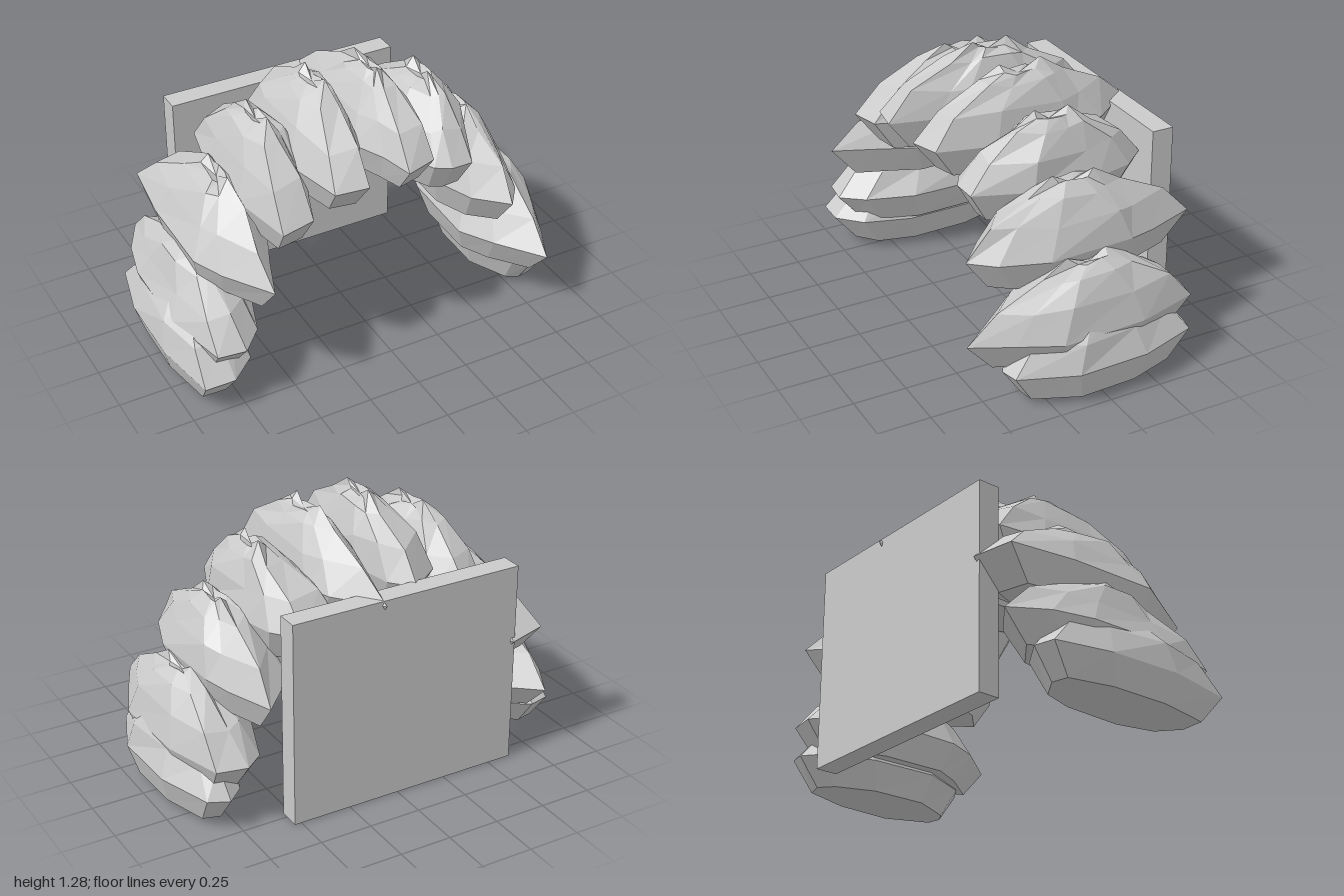
import * as THREE from 'three';

const stone = new THREE.MeshStandardMaterial({ color: 0xcacaca });
stone.name = 'grey stone';

// Small seeded generator, returns -1..1
function seeded(seed) {
  let s = seed * 7919 + 17;
  return () => {
    s = (s * 16807) % 2147483647;
    return (s / 2147483647) * 2 - 1;
  };
}

// One faceted boulder: flat foot, wide belt, rounded shoulders, two peaks with a notch between.
// corner = how far the belt corners reach towards the tips: [back left, back right, front left, front right]
// blunt = how wide the belt is at its corners: [back, front]
function boulder({ x0, x1, back, front, y, h, peak, corner, blunt = [0.72, 0.6] }, seed) {
  const rnd = seeded(seed);
  for (let i = 0; i < 5; i++) rnd();
  const mid = (x0 + x1) / 2, half = (x1 - x0) / 2;
  const [bl, br, fl, fr] = corner;
  const [bx, bz] = back, [fx, fz] = front;
  const backHalf = half * blunt[0], frontHalf = half * blunt[1];

  // Belt outline, clockwise from the back tip
  const belt = [
    [bx, bz], [mid + backHalf, bz * br], [mid + half * 0.93, bz * 0.38], [x1, fz * 0.36],
    [mid + frontHalf, fz * fr], [fx, fz], [mid - frontHalf, fz * fl], [x0, fz * 0.36],
    [mid - half * 0.96, bz * 0.38], [mid - backHalf, bz * bl],
  ];
  const n = belt.length;

  // Level: height fraction, x scale, z scale, shift towards the peak, roughness
  const levels = [
    [0, 0.78, 0.79, 0, 0],
    [0.315, 1, 1, 0, 0],
    [0.61, 0.78, 0.76, 0.35, 0.016],
    [0.84, 0.46, 0.4, 0.85, 0.014],
    [0.95, 0.19, 0.18, 1, 0.008],
  ];
  const rings = levels.map(([t, sx, sz, shift, rough], k) => belt.map(([px, pz], i) => {
    const cx = mid + (peak - mid) * shift;
    let py = y + t * h + rnd() * rough;
    if (k === 1) py += rnd() * 0.008;
    if (k === 4) py = y + h * (i % 5 === 0 ? 1 : 0.93) + (i % 5 === 0 ? 0 : rnd() * 0.012);
    return [cx + (px - mid) * sx + rnd() * rough, py, pz * sz + rnd() * rough];
  }));

  const pos = [];
  const tri = (...pts) => pts.forEach((p) => pos.push(...p));
  const foot = [mid, y, 0], notch = [peak, y + h * 0.89, 0];
  for (let i = 0; i < n; i++) {
    const j = (i + 1) % n;
    tri(foot, rings[0][i], rings[0][j]);
    for (let k = 0; k < rings.length - 1; k++) {
      const a = rings[k][i], b = rings[k][j], c = rings[k + 1][i], d = rings[k + 1][j];
      tri(a, c, b);
      tri(b, c, d);
    }
    tri(notch, rings[4][j], rings[4][i]);
  }
  const geo = new THREE.BufferGeometry();
  geo.setAttribute('position', new THREE.Float32BufferAttribute(pos, 3));
  geo.computeVertexNormals(); // separate triangles give flat facets
  return geo;
}

// Boulders stacked from the right foot of the arch over to the left foot
const boulders = [
  { x0: -1.0, x1: -0.62, back: [-0.83, -0.46], front: [-0.8, 0.52], y: 0.03, h: 0.43, peak: -0.82, corner: [0.95, 0.8, 0.99, 0.8], blunt: [0.62, 0.7] },
  { x0: -0.95, x1: -0.56, back: [-0.8, -0.59], front: [-0.74, 0.52], y: 0.18, h: 0.42, peak: -0.78, corner: [0.7, 0.75, 0.97, 0.8] },
  { x0: -0.84, x1: -0.48, back: [-0.6, -0.59], front: [-0.63, 0.59], y: 0.48, h: 0.45, peak: -0.62, corner: [0.92, 0.7, 0.6, 0.65] },
  { x0: -0.6, x1: -0.25, back: [-0.41, -0.49], front: [-0.38, 0.47], y: 0.7, h: 0.47, peak: -0.42, corner: [0.82, 0.78, 1.06, 0.6], blunt: [0.7, 0.66] },
  { x0: -0.355, x1: 0.0, back: [-0.13, -0.5], front: [-0.13, 0.51], y: 0.82, h: 0.46, peak: -0.14, corner: [0.72, 0.76, 0.95, 0.6] },
  { x0: -0.03, x1: 0.29, back: [0.08, -0.59], front: [0.08, 0.49], y: 0.82, h: 0.45, peak: 0.15, corner: [0.55, 0.64, 0.7, 0.92] },
  { x0: 0.17, x1: 0.57, back: [0.42, -0.47], front: [0.35, 0.41], y: 0.7, h: 0.46, peak: 0.42, corner: [0.92, 0.75, 0.9, 0.98], blunt: [0.78, 0.45] },
  { x0: 0.4, x1: 0.785, back: [0.65, -0.59], front: [0.62, 0.51], y: 0.48, h: 0.46, peak: 0.61, corner: [0.65, 0.6, 0.75, 0.78] },
  { x0: 0.53, x1: 0.96, back: [0.72, -0.51], front: [0.78, 0.59], y: 0.18, h: 0.45, peak: 0.78, corner: [0.85, 0.95, 0.65, 0.68], blunt: [0.55, 0.6] },
  { x0: 0.62, x1: 1.0, back: [0.8, -0.49], front: [0.8, 0.43], y: 0.03, h: 0.44, peak: 0.82, corner: [0.85, 0.94, 0.9, 0.96], blunt: [0.48, 0.42] },
];

export function createModel() {
  const model = new THREE.Group();
  model.name = 'rockArch';

  // Arch of boulders
  const arch = new THREE.Group();
  arch.name = 'archBoulders';
  boulders.forEach((b, i) => {
    const mesh = new THREE.Mesh(boulder(b, i + 3), stone);
    mesh.name = `boulder${i + 1}`;
    arch.add(mesh);
  });
  model.add(arch);

  // Slab closing the back of the opening
  const slab = new THREE.Mesh(new THREE.BoxGeometry(1.15, 0.985, 0.105), stone);
  slab.name = 'backSlab';
  slab.position.set(-0.043, 0.4925, -0.52);
  model.add(slab);

  return model;
}
